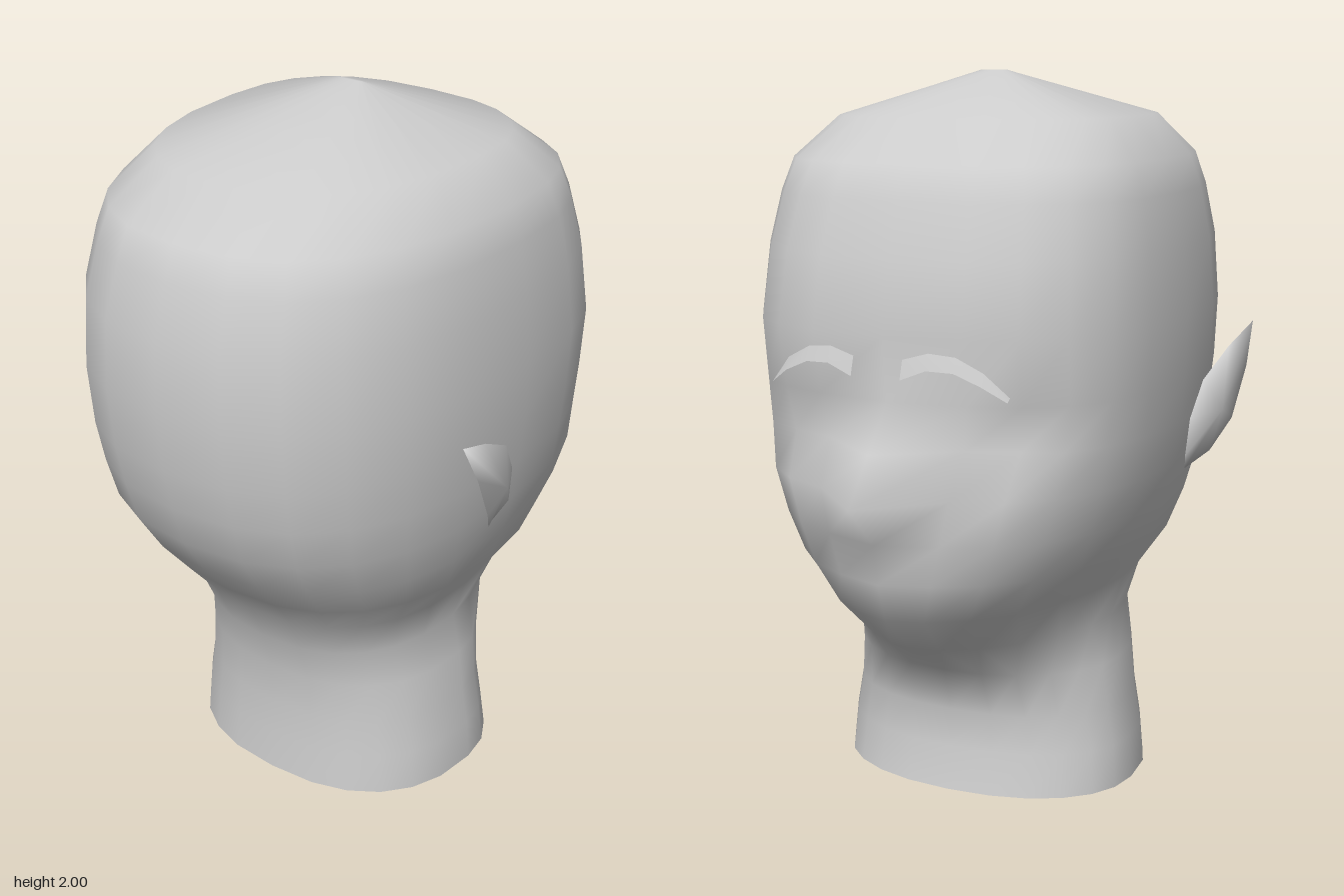
import * as THREE from 'three';

const SEG = 24;
const CENTRE = 0.02;

// Rings from neck to crown: [y, half width, back z, front z, front roundness, nose push, eye socket dent]
const RINGS = [
  [0, 0.44, 0.41, -0.29, 2.2, 0, 0],
  [0.12, 0.43, 0.40, -0.265, 2.2, 0, 0],
  [0.23, 0.41, 0.395, -0.26, 2.2, 0, 0],
  [0.36, 0.395, 0.40, -0.30, 2.1, 0, 0],
  [0.48, 0.37, 0.43, -0.49, 1.7, 0, 0],
  [0.60, 0.405, 0.48, -0.62, 1.9, 0.01, 0],
  [0.71, 0.48, 0.57, -0.65, 2.1, 0.02, 0],
  [0.82, 0.52, 0.66, -0.655, 2.3, 0.035, 0],
  [0.94, 0.55, 0.735, -0.65, 2.5, 0.16, 0],
  [1.06, 0.565, 0.77, -0.62, 2.6, 0.09, 0.04],
  [1.18, 0.575, 0.795, -0.61, 2.7, 0, 0.01],
  [1.35, 0.58, 0.81, -0.63, 2.7, 0, 0],
  [1.54, 0.565, 0.80, -0.59, 2.7, 0, 0],
  [1.68, 0.54, 0.755, -0.54, 2.7, 0, 0],
  [1.77, 0.51, 0.72, -0.50, 2.7, 0, 0],
  [1.88, 0.41, 0.58, -0.35, 2.6, 0, 0],
  [2.0, 0.04, 0.025, 0.015, 2, 0, 0],
];

function build(positions, index) {
  const g = new THREE.BufferGeometry();
  g.setAttribute('position', new THREE.Float32BufferAttribute(positions, 3));
  g.setIndex(index);
  g.computeVertexNormals();
  return g;
}

// Head and neck: rounded rings, open under the neck
function headGeometry() {
  const pos = [], idx = [];
  for (const [y, w, back, front, round, nose, dent] of RINGS) {
    for (let i = 0; i < SEG; i++) {
      const t = (i / SEG) * Math.PI * 2;
      const s = Math.sin(t), c = Math.cos(t);
      const n = c > 0 ? round : 2.4;
      const x = w * Math.sign(s) * Math.abs(s) ** (2 / n);
      const depth = Math.abs(c) ** (2 / n);
      let z = CENTRE + (c > 0 ? front - CENTRE : back - CENTRE) * depth;
      const k = Math.min(i, SEG - i);
      if (k === 0) z -= nose;
      if (k === 1 || k === 2) z += dent;
      pos.push(x, y, z);
    }
  }
  for (let r = 0; r < RINGS.length - 1; r++) {
    for (let i = 0; i < SEG; i++) {
      const j = (i + 1) % SEG;
      const a = r * SEG + i, b = r * SEG + j, c = a + SEG, d = b + SEG;
      idx.push(a, c, b, b, c, d);
    }
  }
  // Small cap at the crown
  const top = pos.length / 3, base = top - SEG;
  pos.push(0, 2, CENTRE);
  for (let i = 0; i < SEG; i++) idx.push(base + i, top, base + ((i + 1) % SEG));
  return build(pos, idx);
}

// Pointed ear: a leaf outline with a bulging outer and inner face
function earGeometry(side) {
  const rim = [
    [0.64, 1.29, 0.41], [0.615, 1.235, 0.27], [0.59, 1.16, 0.13], [0.575, 1.06, 0.07],
    [0.565, 0.955, 0.065], [0.545, 0.905, 0.12], [0.59, 0.945, 0.20], [0.63, 1.03, 0.27],
    [0.645, 1.17, 0.345],
  ];
  const pos = [...rim, [0.632, 1.07, 0.18], [0.57, 1.07, 0.19]].flatMap(([x, y, z]) => [x * side, y, z]);
  const n = rim.length, idx = [];
  for (let i = 0; i < n; i++) {
    const j = (i + 1) % n;
    const [a, b] = side > 0 ? [j, i] : [i, j];
    idx.push(a, b, n, b, a, n + 1);
  }
  return build(pos, idx);
}

// Eyebrow: a thin arched strip tapering outwards
function browGeometry(side) {
  const arch = [ // x, lower y, upper y, z
    [0.07, 1.25, 1.30, -0.668], [0.14, 1.278, 1.32, -0.662], [0.21, 1.275, 1.313, -0.65],
    [0.28, 1.245, 1.277, -0.638], [0.34, 1.205, 1.215, -0.61],
  ];
  const pos = [], idx = [];
  arch.forEach(([x, lo, hi, z], i) => {
    pos.push(x * side, lo, z, x * side, hi, z + 0.015);
    if (i === 0) return;
    const a = 2 * i - 2, b = a + 1, c = a + 2, d = a + 3;
    if (side > 0) idx.push(a, b, c, c, b, d);
    else idx.push(a, c, b, c, d, b);
  });
  return build(pos, idx);
}

export function createModel() {
  const group = new THREE.Group();
  group.name = 'headBust';
  const skin = new THREE.MeshStandardMaterial({ color: 0xcccccc, side: THREE.DoubleSide });
  skin.name = 'plainGrey';
  const add = (name, geometry) => {
    const mesh = new THREE.Mesh(geometry, skin);
    mesh.name = name;
    group.add(mesh);
  };
  add('headAndNeck', headGeometry());
  for (const [label, side] of [['left', 1], ['right', -1]]) {
    add(label + 'Ear', earGeometry(side));
    add(label + 'Eyebrow', browGeometry(side));
  }
  return group;
}
